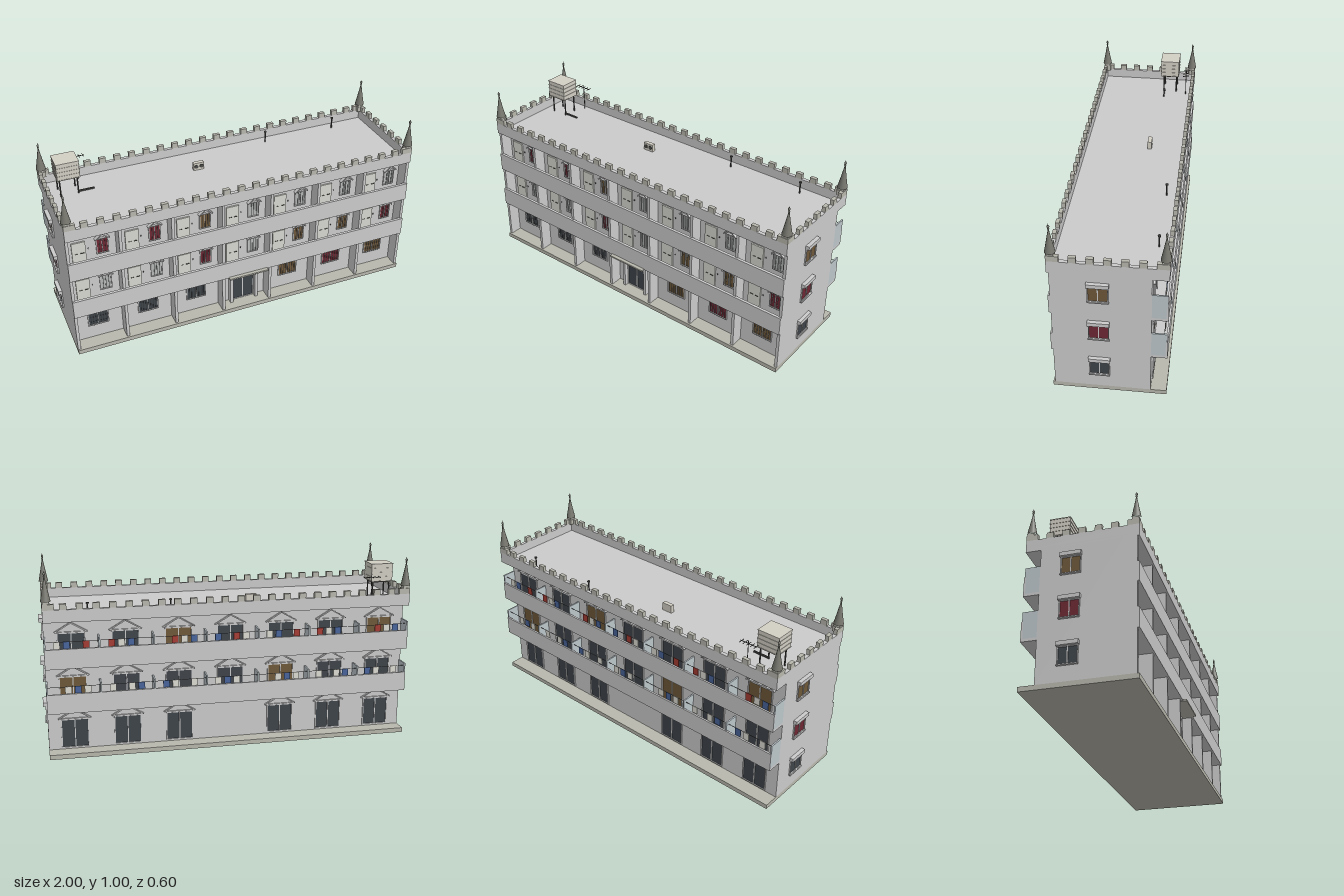
import * as THREE from 'three';

const mat = (color) => new THREE.MeshStandardMaterial({ color });
const M = {
  wall: mat(0xcccccc), stone: mat(0xb9b8ae), metal: mat(0x77776f), iron: mat(0x4a4a48),
  dark: mat(0x3e444a), red: mat(0x6e2733), brown: mat(0x6e5839), pale: mat(0xb4b6b6),
  door: mat(0xd8d8d0), tank: mat(0xd2cfc4), screen: mat(0xbcc6ca),
  cloth0: mat(0xa63c34), cloth1: mat(0xdddcd4), cloth2: mat(0x48659c),
};
const unit = new THREE.BoxGeometry(1, 1, 1);

// Box given by its min and max on each axis
function box(parent, name, material, x0, x1, y0, y1, z0, z1) {
  const m = new THREE.Mesh(unit, material);
  m.name = name;
  m.scale.set(x1 - x0, y1 - y0, z1 - z0);
  m.position.set((x0 + x1) / 2, (y0 + y1) / 2, (z0 + z1) / 2);
  parent.add(m);
  return m;
}

function rod(parent, name, x, z, y0, y1, r) {
  const m = new THREE.Mesh(new THREE.CylinderGeometry(r, r, y1 - y0, 8), M.iron);
  m.name = name;
  m.position.set(x, (y0 + y1) / 2, z);
  parent.add(m);
}

function group(parent, name, x = 0, y = 0, z = 0, ry = 0) {
  const g = new THREE.Group();
  g.name = name;
  g.position.set(x, y, z);
  g.rotation.y = ry;
  parent.add(g);
  return g;
}

// Glazed opening facing +z, standing on y = 0, with optional bars
function opening(g, w, h, pane, bars = 0) {
  const t = 0.005, hw = w / 2;
  box(g, 'pane', pane, -hw, hw, 0, h, -0.002, 0.002);
  for (const s of [-1, 1]) box(g, 'jamb', M.wall, s * hw - t / 2, s * hw + t / 2, 0, h, 0, 0.007);
  for (const y of [0, h]) box(g, 'rail', M.wall, -hw - t / 2, hw + t / 2, y - t / 2, y + t / 2, 0, 0.007);
  box(g, 'mullion', M.wall, -t / 2, t / 2, 0, h, 0, 0.006);
  for (let i = 1; i <= bars; i++) {
    const x = -hw + w * i / (bars + 1);
    box(g, 'bar', M.pale, x - 0.001, x + 0.001, 0, h, 0.007, 0.01);
  }
}

// Two sloping boards forming a gable over an opening
function gable(g, w, y, rise, depth) {
  const len = Math.hypot(w / 2, rise), a = Math.atan2(rise, w / 2);
  for (const s of [-1, 1]) {
    const b = box(g, 'gableBoard', M.wall, -len / 2, len / 2, -0.003, 0.003, 0, depth);
    b.position.set(s * w / 4, y + rise / 2, depth / 2);
    b.rotation.z = -s * a;
  }
  box(g, 'gableTie', M.wall, -w / 2, w / 2, y - 0.002, y + 0.002, 0, depth * 0.6);
}

export function createModel() {
  const root = new THREE.Group();
  root.name = 'apartmentBlock';
  const BAY = 0.28, FLOOR = 0.235, FRONT = 0.2, BACK = -0.21, X = 0.98;
  const bays = [-3, -2, -1, 0, 1, 2, 3];

  // Core, base and top storey slab
  box(root, 'base', M.stone, -X, X, 0, 0.025, -0.29, 0.28);
  box(root, 'core', M.wall, -X, X, 0.025, 0.735, BACK, FRONT);
  box(root, 'roof', M.wall, -X, X, 0.735, 0.75, -0.29, 0.28);

  // Front piers and gallery bands
  for (let i = 0; i <= 7; i++) {
    const x = THREE.MathUtils.clamp(-X + i * BAY, -X + 0.008, X - 0.008);
    box(root, 'pier', M.wall, x - 0.008, x + 0.008, 0.025, 0.735, FRONT, 0.27);
  }
  for (const y of [0.25, 0.49]) {
    box(root, 'galleryFloor', M.wall, -X, X, y, y + 0.015, FRONT, 0.27);
    box(root, 'galleryParapet', M.wall, -X, X, y, y + 0.105, 0.265, 0.28);
    box(root, 'balconyFloor', M.wall, -X, X, y, y + 0.015, -0.285, BACK);
    box(root, 'balconyParapet', M.wall, -X, X, y, y + 0.105, -0.29, -0.28);
  }

  // Front openings
  const frontPanes = [
    ['dark', 'dark', 'dark', null, 'brown', 'red', 'brown'],
    ['pale', 'pale', 'red', 'pale', 'brown', 'brown', 'red'],
    ['red', 'red', 'brown', 'pale', 'pale', 'pale', 'pale'],
  ];
  frontPanes.forEach((row, f) => row.forEach((pane, i) => {
    const x = bays[i] * BAY;
    if (!pane) return;
    if (f === 0) {
      const g = group(root, 'groundWindow', x, 0.11, FRONT);
      opening(g, 0.11, 0.09, M[pane], 7);
      gable(g, 0.125, 0.092, 0.035, 0.02);
      return;
    }
    const y = 0.02 + f * FLOOR;
    const g = group(root, 'galleryWindow', x + 0.06, y + 0.08, FRONT);
    opening(g, 0.06, 0.09, M[pane], 3);
    gable(g, 0.075, 0.092, 0.032, 0.02);
    const d = group(root, 'galleryDoor', x - 0.063, y, FRONT);
    box(d, 'doorLeaf', M.door, -0.036, 0.036, 0, 0.175, 0, 0.008);
    box(d, 'handle', M.iron, 0.008, 0.026, 0.107, 0.11, 0.008, 0.012);
    box(d, 'letterSlot', M.iron, -0.022, -0.006, 0.107, 0.11, 0.008, 0.01);
    box(d, 'bell', M.iron, 0.048, 0.052, 0.12, 0.127, 0, 0.004);
  }));

  // Main entrance
  const entry = group(root, 'entrance', 0, 0.025, FRONT);
  opening(entry, 0.13, 0.19, M.dark);
  for (const s of [-1, 1]) box(entry, 'doorPost', M.wall, s * 0.075 - 0.008, s * 0.075 + 0.008, 0, 0.205, 0, 0.03);
  box(entry, 'lintel', M.wall, -0.083, 0.083, 0.192, 0.208, 0, 0.03);
  box(root, 'canopy', M.stone, -0.115, 0.115, 0.247, 0.256, 0.2, 0.30);

  // Back openings
  const backBrown = [[], [3, -1], [1, -3]];
  for (let f = 0; f < 3; f++) for (const b of bays) {
    if (f === 0 && b === 0) continue;
    const g = group(root, 'balconyDoor', b * BAY, 0.035 + f * FLOOR, BACK, Math.PI);
    opening(g, 0.14, 0.155, backBrown[f].includes(b) ? M.brown : M.dark);
    gable(g, 0.17, 0.16, 0.05, 0.012);
  }

  // Balcony dividers and washing on the lines
  const cloths = [M.cloth0, M.cloth1, M.cloth2, M.cloth1];
  for (const [f, y] of [[1, 0.25], [2, 0.49]]) {
    for (let i = 0; i <= 7; i++) {
      const x = THREE.MathUtils.clamp(-X + i * BAY, -X + 0.004, X - 0.004);
      box(root, 'divider', M.screen, x - 0.004, x + 0.004, y + 0.015, y + 0.155, -0.286, BACK);
    }
    box(root, 'washingLine', M.iron, -X, X, y + 0.138, y + 0.14, -0.271, -0.269);
    for (const b of bays) for (let k = 0; k < 4; k++) {
      if ((b * 3 + k * 5 + f * 2 + 30) % 4 === 0) continue;
      const x = b * BAY - 0.09 + k * 0.05;
      const drop = 0.04 + 0.012 * ((k + b + 8) % 3);
      box(root, 'washing', cloths[(b + 3 + k * 3 + f) % 4], x, x + 0.034, y + 0.14 - drop, y + 0.14, -0.272, -0.268);
    }
  }

  // Side windows with box hoods
  for (const [s, z] of [[1, 0.043], [-1, -0.055]]) ['dark', 'red', 'brown'].forEach((pane, f) => {
    const g = group(root, 'sideWindow', s * X, 0.11 + f * FLOOR + (f ? 0.003 : 0), z, s * Math.PI / 2);
    opening(g, 0.096, 0.088, M[pane]);
    box(g, 'hood', M.wall, -0.054, 0.054, 0.09, 0.111, 0, 0.02);
    box(g, 'sill', M.wall, -0.052, 0.052, -0.006, 0, 0, 0.012);
  });

  // Crenellated roof parapet
  for (const [z0, z1] of [[0.26, 0.28], [-0.29, -0.27]]) {
    box(root, 'parapet', M.wall, -X, X, 0.75, 0.8, z0, z1);
    for (let i = 1; i < 23; i++) {
      const x = -0.96 + i * 1.92 / 23;
      box(root, 'merlon', M.stone, x - 0.018, x + 0.018, 0.8, 0.83, z0, z1);
    }
  }
  for (const s of [-1, 1]) {
    const [x0, x1] = s > 0 ? [X - 0.02, X] : [-X, -X + 0.02];
    box(root, 'parapet', M.wall, x0, x1, 0.75, 0.8, -0.27, 0.26);
    for (let i = 0; i < 6; i++) {
      const z = 0.158 - i * 0.0815;
      box(root, 'merlon', M.stone, x0, x1, 0.8, 0.83, z - 0.018, z + 0.018);
    }
  }

  // Corner turrets
  const spireProfile = [[0.026, 0], [0.015, 0.055], [0.004, 0.115], [0.003, 0.125], [0.006, 0.128], [0.003, 0.132],
    [0.006, 0.138], [0.006, 0.143], [0.002, 0.148], [0, 0.157]].map(([r, y]) => new THREE.Vector2(r, y));
  const spireGeo = new THREE.LatheGeometry(spireProfile, 20);
  for (const x of [-0.96, 0.96]) for (const z of [0.26, -0.27]) {
    const s = Math.sign(x), t = Math.sign(z);
    box(root, 'turretBlock', M.stone, x - 0.02, x + 0.02, 0.8, 0.83, z - 0.02, z + 0.02);
    // L-shaped shoulders along both parapets
    box(root, 'turretShoulder', M.stone, x - s * 0.02 - 0.02, x - s * 0.02 + 0.02, 0.8, 0.83, z + t * 0.01 - 0.01, z + t * 0.01 + 0.01);
    box(root, 'turretShoulder', M.stone, x + s * 0.01 - 0.01, x + s * 0.01 + 0.01, 0.8, 0.83, z - t * 0.02 - 0.02, z - t * 0.02 + 0.02);
    box(root, 'turretCap', M.stone, x - 0.017, x + 0.017, 0.83, 0.845, z - 0.017, z + 0.017);
    const spire = new THREE.Mesh(spireGeo, M.metal);
    spire.name = 'spire';
    spire.position.set(x, 0.843, z);
    root.add(spire);
  }

  // Water tank on legs with outlet pipe
  box(root, 'tank', M.tank, -0.913, -0.793, 0.857, 0.953, -0.198, -0.092);
  for (let i = 0; i < 5; i++) {
    const y = 0.857 + i * 0.0235;
    box(root, 'tankRib', M.tank, -0.915, -0.791, y - 0.002, y + 0.002, -0.2, -0.09);
  }
  for (const x of [-0.9, -0.806]) for (const z of [-0.185, -0.11]) rod(root, 'tankLeg', x, z, 0.75, 0.857, 0.004);
  box(root, 'tankBeam', M.iron, -0.905, -0.8, 0.849, 0.856, -0.19, -0.105);
  box(root, 'outletPipe', M.iron, -0.806, -0.72, 0.755, 0.763, -0.119, -0.111);

  // Aerial
  rod(root, 'aerialMast', -0.775, -0.245, 0.75, 0.905, 0.002);
  box(root, 'aerialBoom', M.iron, -0.825, -0.73, 0.888, 0.891, -0.247, -0.244);
  for (let i = 0; i < 5; i++) {
    const x = -0.82 + i * 0.021;
    box(root, 'aerialElement', M.iron, x - 0.001, x + 0.001, 0.888, 0.891, -0.264, -0.227);
  }

  // Cooling unit with two fans
  box(root, 'coolingUnit', M.tank, -0.172, -0.112, 0.752, 0.795, -0.1, -0.078);
  for (const x of [-0.157, -0.127]) {
    const fan = new THREE.Mesh(new THREE.CylinderGeometry(0.011, 0.011, 0.003, 16), M.iron);
    fan.name = 'fan';
    fan.rotation.x = Math.PI / 2;
    fan.position.set(x, 0.774, -0.077);
    root.add(fan);
  }

  // Roof vents
  for (const x of [0.32, 0.75]) {
    rod(root, 'ventPipe', x, -0.22, 0.75, 0.812, 0.004);
    rod(root, 'ventCap', x, -0.22, 0.812, 0.818, 0.008);
  }
  return root;
}
